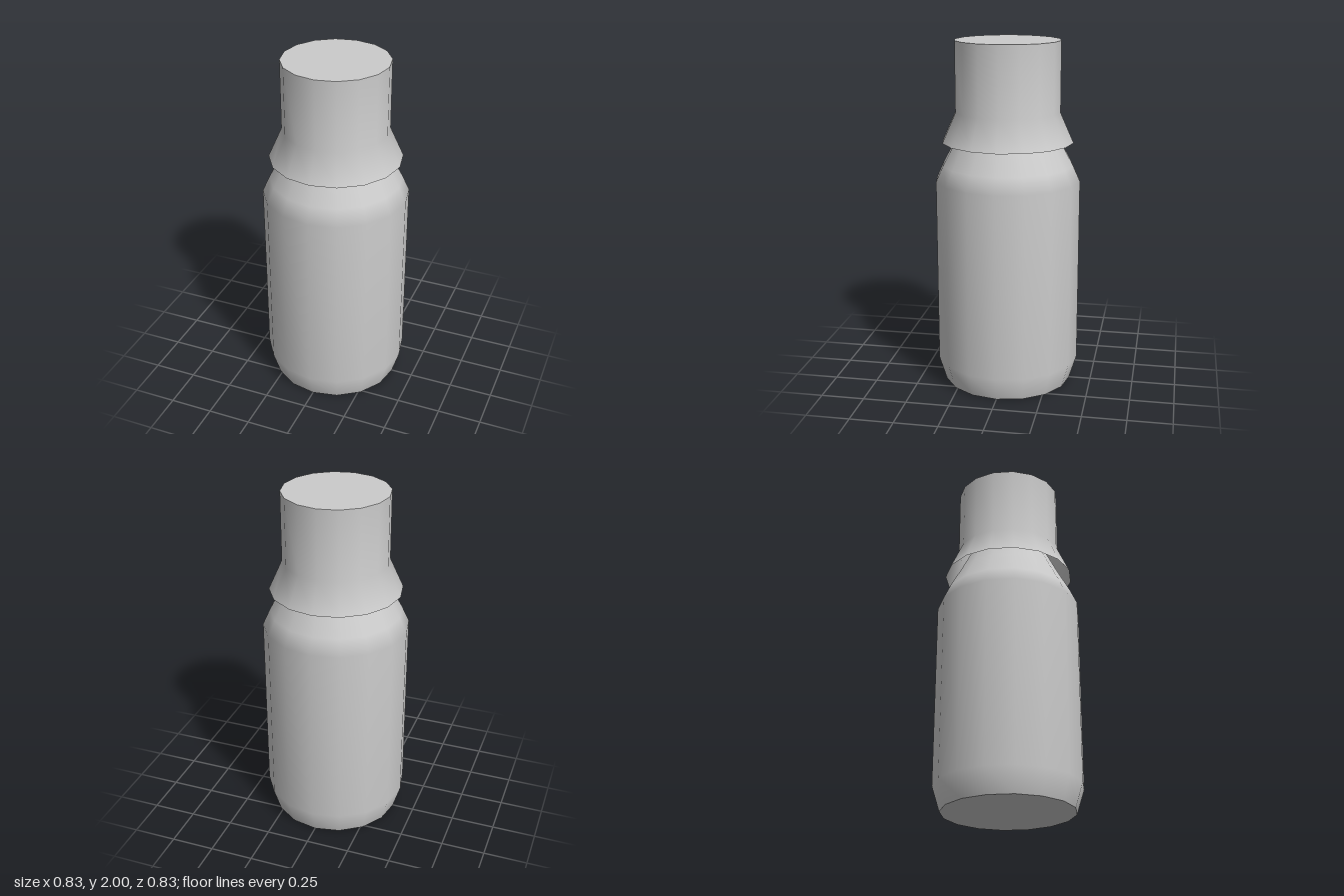
import * as THREE from 'three';

const SIDES = 16;

export function createModel() {
  const group = new THREE.Group();
  const solid = new THREE.MeshStandardMaterial({ color: 0xcccccc });
  const thin = new THREE.MeshStandardMaterial({ color: 0xcccccc, side: THREE.DoubleSide });

  // Smooth wall turned from a [radius, height] profile
  const wall = (name, profile, material) => {
    const points = profile.map(([r, y]) => new THREE.Vector2(r, y));
    const mesh = new THREE.Mesh(new THREE.LatheGeometry(points, SIDES), material);
    mesh.name = name;
    group.add(mesh);
  };

  // Flat disc facing up or down, giving the wall a sharp rim
  const disc = (name, radius, y, up) => {
    const geometry = new THREE.CircleGeometry(radius, SIDES);
    geometry.rotateX(up ? -Math.PI / 2 : Math.PI / 2);
    const mesh = new THREE.Mesh(geometry, solid);
    mesh.name = name;
    mesh.position.y = y;
    group.add(mesh);
  };

  // Bottle body, its shoulder running up inside the cap skirt
  wall('bottleBody', [
    [0.373, 0], [0.416, 0.14], [0.416, 1.21], [0.375, 1.3], [0.305, 1.43], [0.23, 1.58],
  ], solid);
  disc('bottleBase', 0.373, 0, false);

  // Cap with a flared skirt, open underneath
  wall('cap', [[0.376, 1.43], [0.3, 1.6], [0.3, 2]], thin);
  disc('capTop', 0.3, 2, true);

  return group;
}
